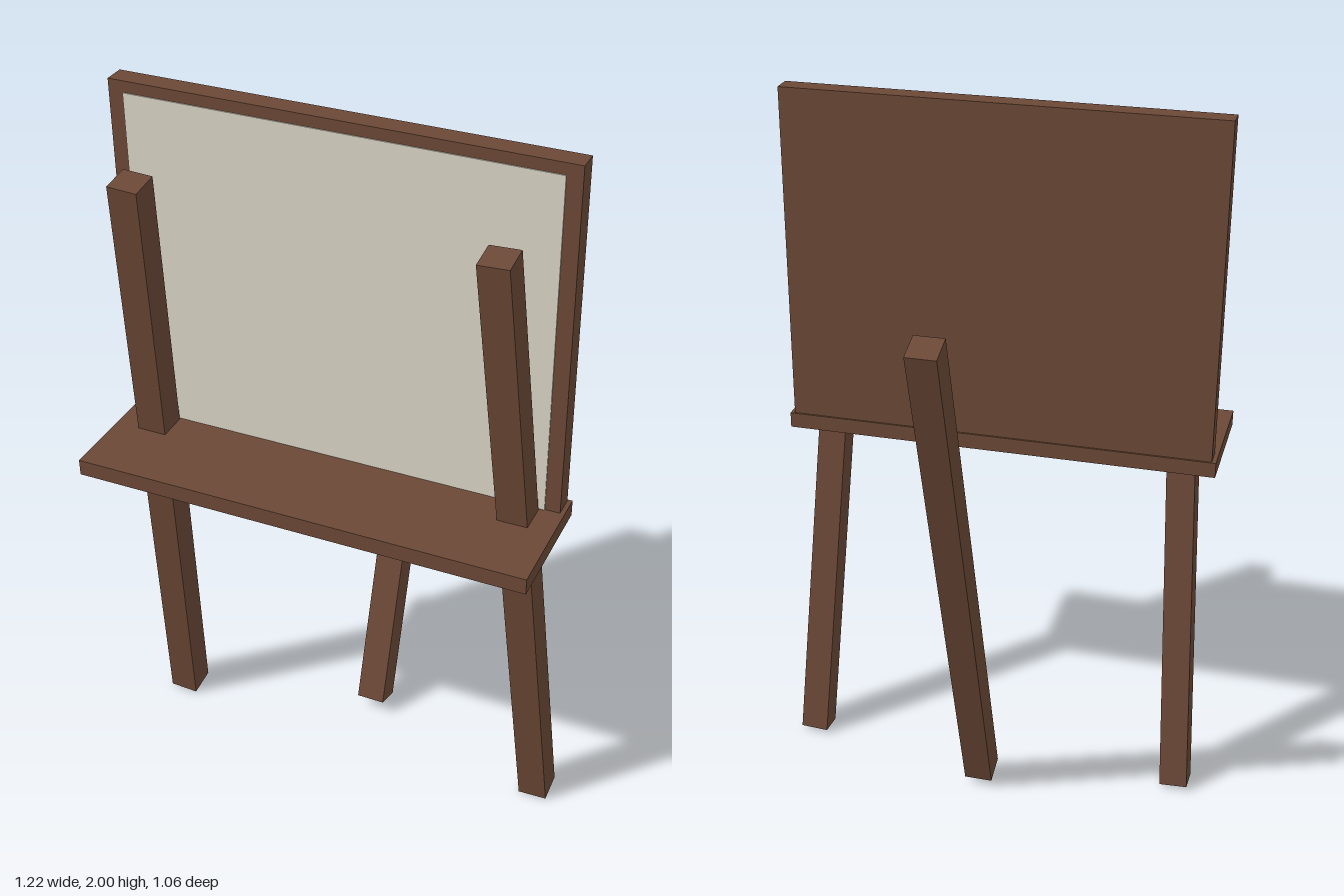
import * as THREE from 'three';

export function createModel() {
  const model = new THREE.Group();
  model.name = 'easel';

  const wood = new THREE.MeshStandardMaterial({ color: 0x6b4836 });
  wood.name = 'brown wood';
  const cream = new THREE.MeshStandardMaterial({ color: 0xd8d4c5 });
  cream.name = 'cream canvas';

  // Box given by its lower and upper corners
  function box(name, material, min, max) {
    const size = max.map((v, i) => v - min[i]);
    const mesh = new THREE.Mesh(new THREE.BoxGeometry(...size), material);
    mesh.position.set(...max.map((v, i) => (v + min[i]) / 2));
    mesh.name = name;
    model.add(mesh);
  }

  // Square post running between two end centres
  function post(name, bottom, top) {
    const a = new THREE.Vector3(...bottom);
    const b = new THREE.Vector3(...top);
    const mesh = new THREE.Mesh(new THREE.BoxGeometry(0.08, a.distanceTo(b), 0.08), wood);
    mesh.position.copy(a).add(b).multiplyScalar(0.5);
    mesh.quaternion.setFromUnitVectors(new THREE.Vector3(0, 1, 0), b.sub(a).normalize());
    mesh.name = name;
    model.add(mesh);
  }

  // Splayed front legs and the back prop
  for (const [name, s] of [['leftFrontLeg', 1], ['rightFrontLeg', -1]]) {
    post(name, [s * 0.56, 0.008, 0.153], [s * 0.466, 1.822, 0.405]);
  }
  post('backLeg', [0, 0.037, 0.021], [0, 1.613, -0.492]);

  // Framed board with a thin canvas face
  box('board', wood, [-0.6, 1.03, 0.193], [0.6, 2, 0.25]);
  box('canvas', cream, [-0.56, 1.04, 0.248], [0.56, 1.97, 0.253]);

  // Tray under the board
  box('tray', wood, [-0.612, 1.01, 0.188], [0.612, 1.054, 0.53]);

  return model;
}
